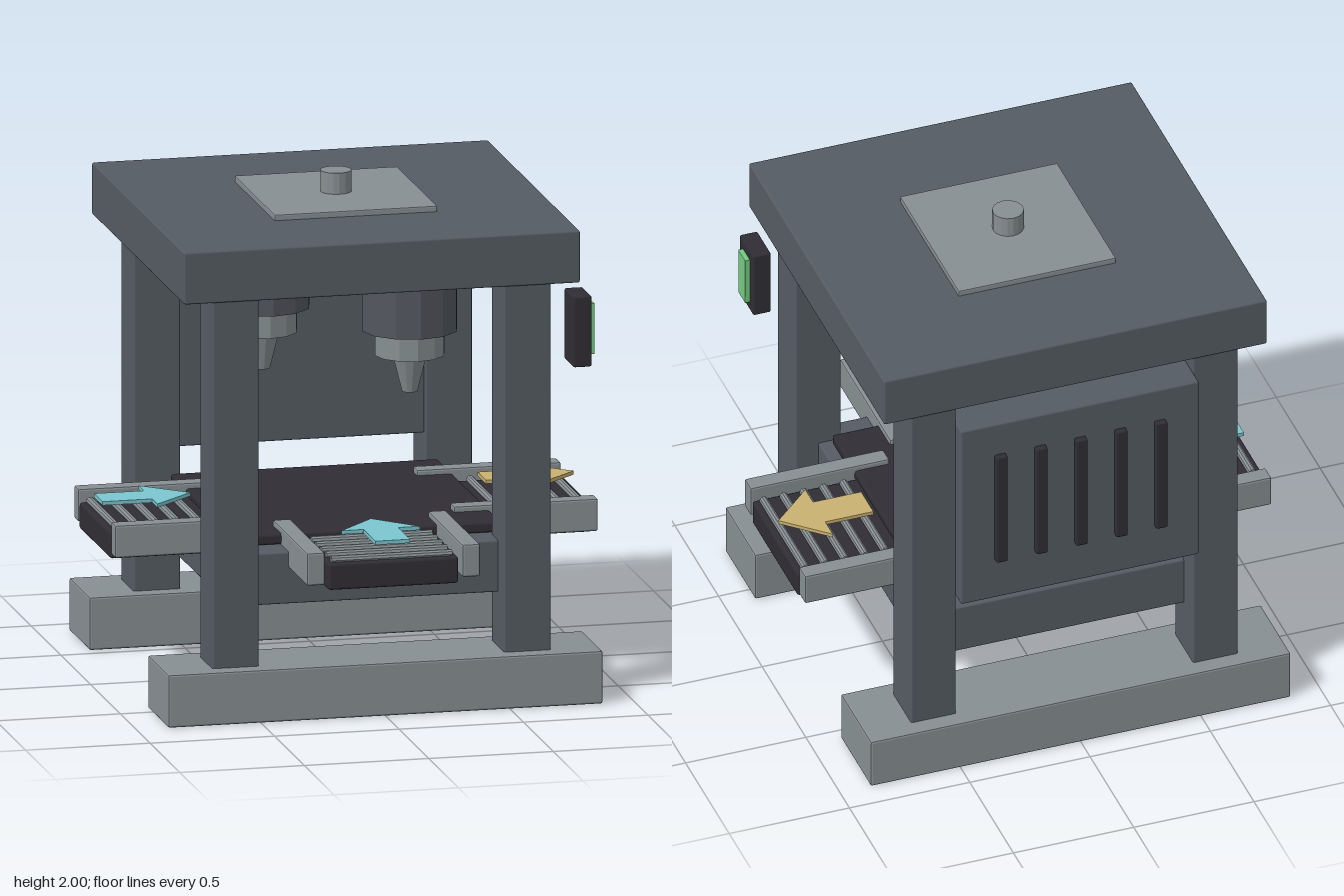
import * as THREE from 'three';
import { RoundedBoxGeometry } from 'three/addons/geometries/RoundedBoxGeometry.js';

const CZ = -0.06; // z of the machine's working centre

function mat(name, color, flat = false) {
  const m = new THREE.MeshStandardMaterial({ color, flatShading: flat });
  m.name = name;
  return m;
}

export function createModel() {
  const slate = mat('slate', 0x555c63);
  const spindleSlate = mat('spindleSlate', 0x53575f, true);
  const grey = mat('grey', 0x878f92, true);
  const black = mat('black', 0x302e34);
  const cyan = mat('cyan', 0x7bc6cf);
  const amber = mat('amber', 0xc9b170);
  const green = mat('green', 0x74cb80);

  const root = new THREE.Group();
  root.name = 'pressStation';

  function add(parent, name, geometry, material, x = 0, y = 0, z = 0) {
    const mesh = new THREE.Mesh(geometry, material);
    mesh.name = name;
    mesh.position.set(x, y, z);
    parent.add(mesh);
    return mesh;
  }

  // Softly bevelled box given by its limits on each axis
  function block(parent, name, material, [x0, x1], [y0, y1], [z0, z1], bevel = 0.008) {
    const geometry = new RoundedBoxGeometry(x1 - x0, y1 - y0, z1 - z0, 1, bevel);
    return add(parent, name, geometry, material, (x0 + x1) / 2, (y0 + y1) / 2, (z0 + z1) / 2);
  }

  // Upright tapered cylinder from y0 to y1
  function drum(parent, name, material, rTop, rBottom, y0, y1, sides) {
    const geometry = new THREE.CylinderGeometry(rTop, rBottom, y1 - y0, sides);
    return add(parent, name, geometry, material, 0, (y0 + y1) / 2, 0);
  }

  // Feet and posts
  for (const [z0, z1] of [[0.43, 0.775], [-0.895, -0.55]]) {
    block(root, 'foot', grey, [-0.873, 0.873], [0, 0.212], [z0, z1]);
  }
  for (const x of [-0.586, 0.586]) {
    for (const z of [0.602, -0.72]) {
      block(root, 'post', slate, [x - 0.094, x + 0.094], [0.2, 1.69], [z - 0.105, z + 0.105]);
    }
  }

  // Roof, cap plate and drive shaft
  block(root, 'roof', slate, [-0.796, 0.796], [1.683, 1.892], [-0.835, 0.717]);
  block(root, 'capPlate', grey, [-0.327, 0.327], [1.885, 1.915], [-0.397, 0.277], 0.005);
  const shaft = drum(root, 'shaft', grey, 0.062, 0.062, 1.9, 2, 16);
  shaft.position.z = CZ;

  // Work table and its dark top plate
  block(root, 'table', slate, [-0.586, 0.586], [0.43, 0.638], [-0.72, 0.602]);
  block(root, 'tablePlate', black, [-0.537, 0.537], [0.638, 0.682], [-0.597, 0.477], 0.012);

  // Rear cabinet with vent slats
  block(root, 'cabinet', slate, [-0.495, 0.495], [0.777, 1.61], [-0.886, -0.64]);
  for (let i = -2; i <= 2; i++) {
    const x = i * 0.166;
    block(root, 'ventSlat', black, [x - 0.023, x + 0.023], [0.96, 1.465], [-0.912, -0.88], 0.005);
  }

  // Two diagonal spindles: motor, collar and tapered nozzle
  for (const s of [-1, 1]) {
    const spindle = new THREE.Group();
    spindle.name = 'spindle';
    spindle.position.set(s * 0.236, 0, CZ + s * 0.253);
    drum(spindle, 'spindleMotor', spindleSlate, 0.19, 0.19, 1.407, 1.69, 12);
    drum(spindle, 'spindleCollar', grey, 0.139, 0.139, 1.306, 1.407, 12);
    drum(spindle, 'spindleNozzle', grey, 0.069, 0.031, 1.157, 1.306, 12);
    root.add(spindle);
  }

  // Flat arrow pointing along local -z, centred on its length
  const outline = [[-0.07, -0.185], [0.07, -0.185], [0.07, 0.015], [0.158, 0.015],
    [0, 0.185], [-0.158, 0.015], [-0.07, 0.015]];
  const arrowGeometry = new THREE.ExtrudeGeometry(
    new THREE.Shape(outline.map(([x, y]) => new THREE.Vector2(x, y))),
    { depth: 0.015, bevelEnabled: false }
  );
  arrowGeometry.rotateX(-Math.PI / 2);

  // Roller conveyor running outward along local +z
  function conveyor(name, turn, arrowMaterial, outgoing) {
    const group = new THREE.Group();
    group.name = name;
    block(group, 'conveyorBed', black, [-0.262, 0.262], [0.55, 0.657], [0.39, 0.97], 0.012);
    for (const s of [-1, 1]) {
      block(group, 'conveyorRail', grey, [s * 0.312 - 0.036, s * 0.312 + 0.036],
        [0.573, 0.704], [0.392, 0.97]);
    }
    for (let i = -3; i <= 3; i++) {
      const roller = add(group, 'roller', new THREE.CylinderGeometry(0.017, 0.017, 0.485, 10),
        grey, 0, 0.663, 0.68 + i * 0.083);
      roller.rotation.z = Math.PI / 2;
    }
    const arrow = add(group, 'flowArrow', arrowGeometry, arrowMaterial, 0, 0.72, 0.77);
    if (outgoing) arrow.rotation.y = Math.PI;
    group.rotation.y = turn;
    group.position.z = CZ;
    root.add(group);
  }
  conveyor('frontConveyor', 0, cyan, false);
  conveyor('rightConveyor', -Math.PI / 2, cyan, false);
  conveyor('leftConveyor', Math.PI / 2, amber, true);

  // Control display beside the front post
  block(root, 'displayCase', black, [0.785, 0.86], [1.325, 1.61], [0.488, 0.647]);
  block(root, 'displayScreen', green, [0.855, 0.88], [1.365, 1.57], [0.527, 0.607], 0.003);

  return root;
}
